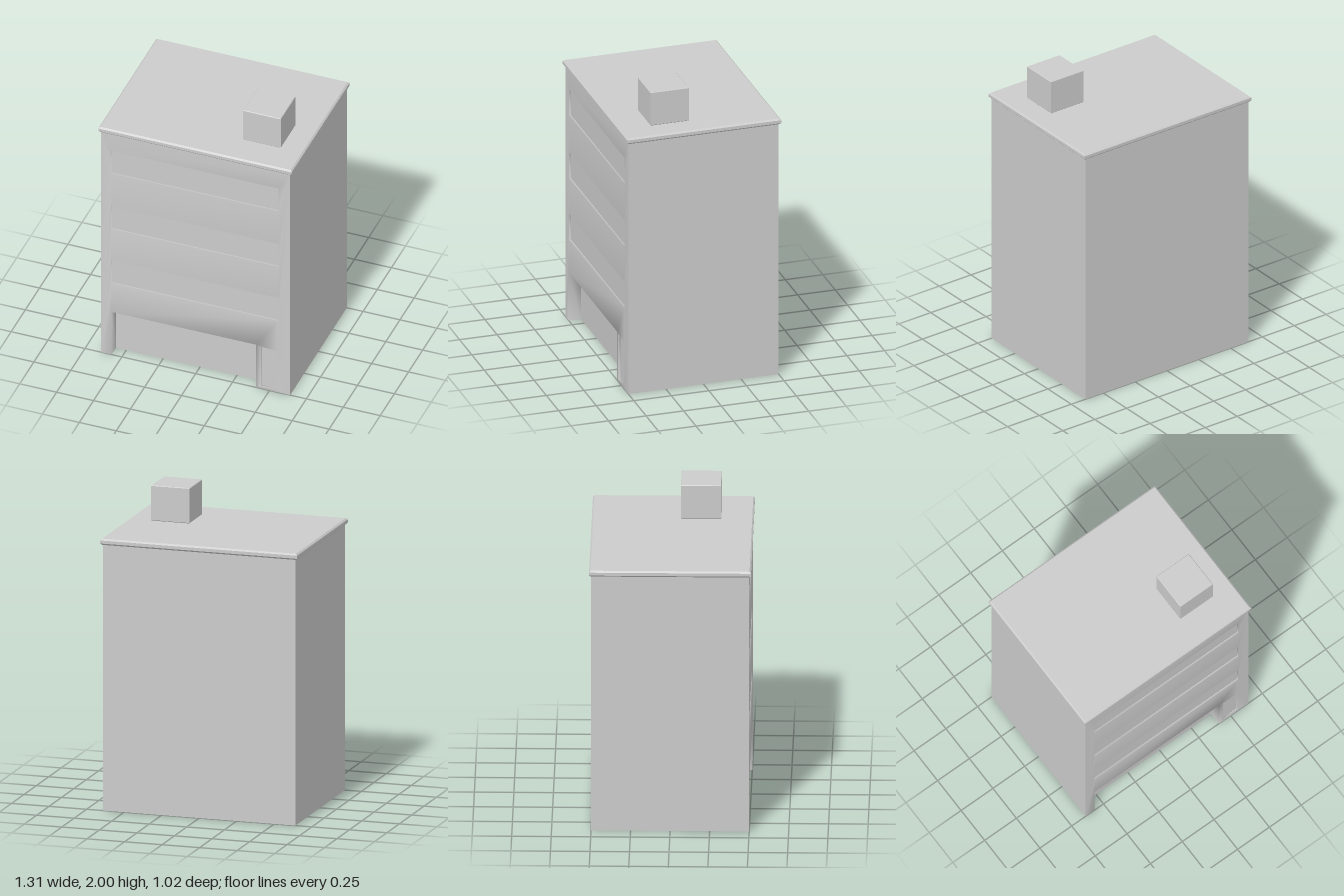
import * as THREE from 'three';
import { mergeGeometries, mergeVertices } from 'three/addons/utils/BufferGeometryUtils.js';

const W = 0.64, D = 0.5, H = 1.73; // half width, half depth, wall height
const material = new THREE.MeshStandardMaterial({ color: 0xcccccc, side: THREE.DoubleSide });

function add(parent, name, geometry, x = 0, y = 0, z = 0, turn = 0) {
  const mesh = new THREE.Mesh(geometry, material);
  mesh.name = name;
  mesh.position.set(x, y, z);
  mesh.rotation.y = turn;
  parent.add(mesh);
  return mesh;
}

// Box with small chamfers, standing on y = 0
function chamferedBox(w, h, d, bevel) {
  const x = w / 2 - bevel, z = d / 2 - bevel;
  const shape = new THREE.Shape([[-x, -z], [x, -z], [x, z], [-x, z]].map(p => new THREE.Vector2(...p)));
  return new THREE.ExtrudeGeometry(shape, {
    depth: h - 2 * bevel, bevelSize: bevel, bevelThickness: bevel, bevelSegments: 1,
  }).translate(0, 0, bevel).rotateX(-Math.PI / 2);
}

// Counterclockwise corners of an opening, starting at the lower right
const corners = o => [[o.x1, o.y0], [o.x1, o.y1], [o.x0, o.y1], [o.x0, o.y0]];

// Inward-facing side walls of a recess
function reveal(o) {
  const pts = corners(o), positions = [];
  const count = o.openBottom ? 3 : 4;
  for (let i = 0; i < count; i++) {
    const a = pts[i], b = pts[(i + 1) % 4], back = D - o.depth;
    positions.push(...a, D, ...b, D, ...b, back, ...a, D, ...b, back, ...a, back);
  }
  const g = new THREE.BufferGeometry();
  g.setAttribute('position', new THREE.Float32BufferAttribute(positions, 3));
  return g;
}

export function createModel() {
  const model = new THREE.Group();
  model.name = 'building';

  // Openings in the front wall
  const garage = { name: 'garageDoor', x0: -0.57, x1: 0.41, y0: 0, y1: 0.335, depth: 0.08, openBottom: true };
  const door = { name: 'entranceDoor', x0: 0.44, x1: 0.55, y0: 0.02, y1: 0.325, depth: 0.012 };
  const windows = [0.56, 0.985, 1.42].map(y => (
    { name: 'windowBand', x0: -0.57, x1: 0.56, y0: y, y1: y + 0.18, depth: 0.012 }));
  const openings = [garage, door, ...windows];

  // Front wall with its reveals, softly shaded across the edges
  const outline = new THREE.Shape([
    [-W, 0], [garage.x0, 0], [garage.x0, garage.y1], [garage.x1, garage.y1],
    [garage.x1, 0], [W, 0], [W, H], [-W, H],
  ].map(p => new THREE.Vector2(...p)));
  for (const o of [door, ...windows]) {
    outline.holes.push(new THREE.Path(corners(o).map(p => new THREE.Vector2(...p))));
  }
  const wall = new THREE.ShapeGeometry(outline).translate(0, 0, D).toNonIndexed();
  wall.deleteAttribute('uv');
  wall.deleteAttribute('normal');
  const front = mergeVertices(mergeGeometries([wall, ...openings.map(reveal)]), 1e-4);
  front.computeVertexNormals();
  add(model, 'frontWall', front);

  // Panels at the back of each recess
  for (const o of openings) {
    add(model, o.name, new THREE.PlaneGeometry(o.x1 - o.x0, o.y1 - o.y0),
      (o.x0 + o.x1) / 2, (o.y0 + o.y1) / 2, D - o.depth);
  }

  // Remaining walls; the underside stays open
  add(model, 'backWall', new THREE.PlaneGeometry(2 * W, H), 0, H / 2, -D, Math.PI);
  for (const s of [1, -1]) {
    add(model, s > 0 ? 'leftWall' : 'rightWall', new THREE.PlaneGeometry(2 * D, H), s * W, H / 2, 0, s * Math.PI / 2);
  }

  // Overhanging roof slab and rooftop box
  add(model, 'roof', chamferedBox(1.31, 0.04, 1.025, 0.01), 0, H, 0);
  add(model, 'rooftopBox', chamferedBox(0.256, 0.23, 0.256, 0.004), 0.375, 1.77, 0.18);
  return model;
}
